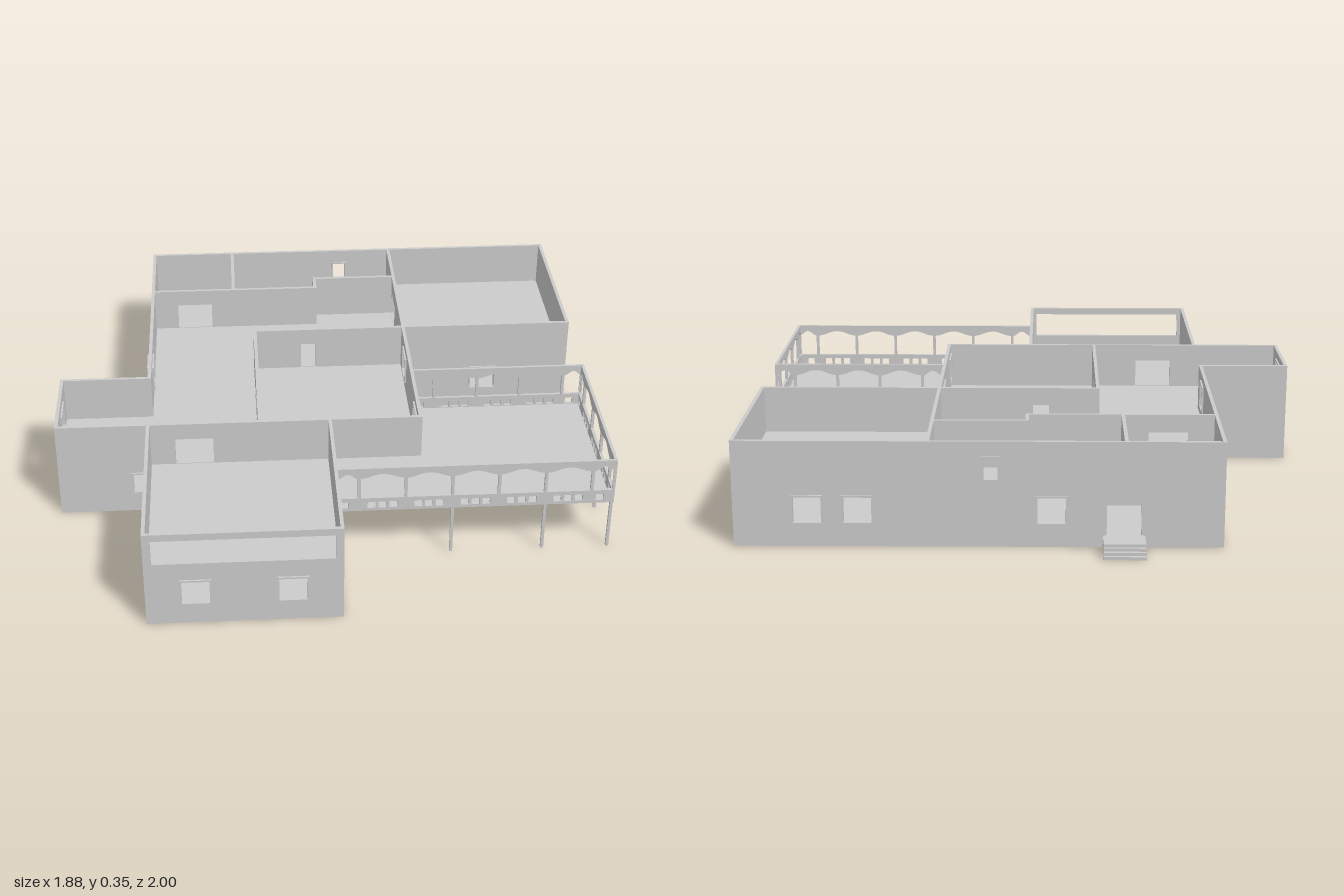
import * as THREE from 'three';

const H = 0.35, FLOOR = 0.19, T = 0.012;
const mat = new THREE.MeshStandardMaterial({ color: 0xcccccc, side: THREE.DoubleSide, flatShading: true });

function rect(Type, a, b, y0, y1) {
  const p = new Type();
  p.moveTo(a, y0); p.lineTo(b, y0); p.lineTo(b, y1); p.lineTo(a, y1); p.closePath();
  return p;
}

// Extrudes an upright (along, y) shape, centred on the line x = at or z = at
function upright(name, shape, axis, at, depth) {
  const geo = new THREE.ExtrudeGeometry(shape, { depth, bevelEnabled: false, curveSegments: 6 });
  const m = new THREE.Mesh(geo, mat);
  m.name = name;
  if (axis === 'x') m.position.z = at - depth / 2;
  else { m.rotation.y = -Math.PI / 2; m.position.x = at + depth / 2; }
  return m;
}

// Wall running along an axis; openings are [from, to, bottom, top, framed]
function wall(name, axis, at, from, to, y0, openings = []) {
  const g = new THREE.Group();
  g.name = name;
  const s = rect(THREE.Shape, from - T / 2, to + T / 2, y0, H);
  for (const [a, b, c, d, framed] of openings) {
    s.holes.push(rect(THREE.Path, a, b, c, d));
    if (!framed) continue;
    const f = 0.006;
    const ring = rect(THREE.Shape, a - f, b + f, c - f, d + f);
    ring.holes.push(rect(THREE.Path, a, b, c, d));
    g.add(upright('windowFrame', ring, axis, at, T + 0.012));
  }
  g.add(upright('wallPanel', s, axis, at, T));
  return g;
}

function box(name, x0, x1, y0, y1, z0, z1) {
  const m = new THREE.Mesh(new THREE.BoxGeometry(x1 - x0, y1 - y0, z1 - z0), mat);
  m.name = name;
  m.position.set((x0 + x1) / 2, (y0 + y1) / 2, (z0 + z1) / 2);
  return m;
}

// Horizontal slab from an outline of [x, z] points
function slab(name, pts, y0, y1) {
  const s = new THREE.Shape(pts.map(([x, z]) => new THREE.Vector2(x, -z)));
  const m = new THREE.Mesh(new THREE.ExtrudeGeometry(s, { depth: y1 - y0, bevelEnabled: false }), mat);
  m.name = name;
  m.rotation.x = -Math.PI / 2;
  m.position.y = y0;
  return m;
}

// Terrace screen: arched bays above a parapet pierced by small squares
function screen(name, axis, at, from, to) {
  const bay = 0.155, p = 0.005, s = rect(THREE.Shape, from, to, 0.182, H);
  const edges = [from];
  for (let u = from + bay / 2; u < to - 0.03; u += bay) edges.push(u);
  edges.push(to);
  for (let i = 0; i < edges.length - 1; i++) {
    const a = edges[i] + p, b = edges[i + 1] - p, mid = (a + b) / 2;
    const arch = new THREE.Path();
    arch.moveTo(a, 0.232);
    arch.lineTo(b, 0.232);
    arch.lineTo(b, 0.31);
    arch.bezierCurveTo(b - (b - a) * 0.2, 0.312, mid + (b - a) * 0.2, 0.328, mid, 0.328);
    arch.bezierCurveTo(mid - (b - a) * 0.2, 0.328, a + (b - a) * 0.2, 0.312, a, 0.31);
    s.holes.push(arch);
    const offsets = b - a > 0.1 ? [-0.036, 0, 0.036] : [-0.01];
    for (const o of offsets) s.holes.push(rect(THREE.Path, mid + o - 0.013, mid + o + 0.013, 0.193, 0.217));
  }
  return upright(name, s, axis, at, 0.01);
}

export function createModel() {
  const g = new THREE.Group();
  g.name = 'house';
  const lo = (a, b) => [a, b, 0.08, 0.165, true];   // ground storey window
  const up = (a, b) => [a, b, 0.232, 0.318, true];  // upper storey window
  const door = (a, b) => [a, b, FLOOR + 0.002, 0.29, false];

  // Floors
  const outline = [[-0.625, -0.88], [0.925, -0.88], [0.925, -0.255], [0.31, -0.255], [0.31, 0.36], [0, 0.36],
    [0, 0.985], [-0.62, 0.985], [-0.62, 0.36], [-0.93, 0.36], [-0.93, 0.055], [-0.625, 0.055]];
  g.add(slab('groundFloor', outline, 0.018, 0.025));
  g.add(slab('upperFloor', outline, 0.18, FLOOR));

  // Outer walls
  g.add(
    wall('backWall', 'x', -0.88, -0.622, 0.925, 0, [lo(0.49, 0.58), lo(0.65, 0.74), lo(-0.125, -0.035),
      [0.09, 0.135, 0.225, 0.295, true], [-0.365, -0.255, 0.04, 0.14, false]]),
    wall('leftRoomSideWall', 'z', 0.925, -0.88, -0.255, 0,
      [[-0.7, -0.655, 0.08, 0.152, true], [-0.47, -0.425, 0.08, 0.152, true]]),
    wall('leftRoomFrontWall', 'x', -0.255, 0.31, 0.925, 0, [lo(0.57, 0.66)]),
    wall('middleSideWall', 'z', 0.31, -0.255, 0.36, 0, [lo(-0.15, -0.06), up(-0.15, -0.06), up(0.23, 0.32)]),
    wall('middleFrontWall', 'x', 0.36, -0.93, 0.31, 0,
      [[-0.68, -0.633, 0.08, 0.152, true], [0.195, 0.265, 0.08, 0.145, true], door(-0.53, -0.4)]),
    wall('frontRoomLeftWall', 'z', 0, 0.36, 0.98, 0, [lo(0.71, 0.8)]),
    wall('frontWall', 'x', 0.983, -0.62, 0, 0,
      [lo(-0.51, -0.42), lo(-0.2, -0.11), [-0.6, -0.018, 0.235, 0.325, false]]),
    wall('frontRoomRightWall', 'z', -0.62, 0.36, 0.98, 0, [lo(0.71, 0.8)]),
    wall('annexSideWall', 'z', -0.93, 0.055, 0.36, 0, [up(0.16, 0.25)]),
    wall('annexBackWall', 'x', 0.055, -0.93, -0.622, 0, [[-0.68, -0.64, 0.08, 0.152, true]]),
    wall('rightWall', 'z', -0.622, -0.88, 0.055, 0, [lo(-0.695, -0.605),
      [-0.4, -0.36, 0.08, 0.145, true], lo(-0.15, -0.06), up(-0.15, -0.06)]),
  );

  // Upper storey partitions
  const y = 0.182;
  g.add(
    wall('hallPartition', 'x', -0.578, -0.62, 0, y, [door(-0.53, -0.4)]),
    wall('hallReturn', 'z', 0, -0.65, -0.578, y),
    wall('hallPartitionLeft', 'x', -0.65, 0, 0.31, y),
    wall('backRoomPartition', 'z', -0.315, -0.88, -0.578, y),
    wall('leftRoomPartition', 'z', 0.31, -0.88, -0.255, y, [[-0.785, -0.73, 0.21, 0.29, false], door(-0.64, -0.51)]),
    wall('middleRoomBackPartition', 'x', -0.255, -0.24, 0.31, y, [door(-0.07, -0.015)]),
    wall('middleRoomSidePartition', 'z', -0.24, -0.255, 0.36, y, [door(-0.015, 0.115)]),
  );

  // Terrace deck, posts and screens
  g.add(slab('terraceDeck', [[0, 0.36], [0.31, 0.36], [0.31, 0.055], [0.93, 0.055], [0.93, 0.665], [0, 0.665]], 0.182, FLOOR));
  const posts = [[0.012, 0.66], [0.39, 0.66], [0.7, 0.66], [0.923, 0.66], [0.923, 0.44], [0.923, 0.21], [0.923, 0.062]];
  for (const [x, z] of posts) g.add(box('terracePost', x - 0.005, x + 0.005, 0, 0.183, z - 0.005, z + 0.005));
  g.add(
    screen('terraceFrontScreen', 'x', 0.662, 0, 0.93),
    screen('terraceSideScreen', 'z', 0.925, 0.053, 0.667),
    screen('terraceBackScreen', 'x', 0.058, 0.315, 0.93),
  );

  // Back door steps
  for (let i = 0; i < 4; i++) g.add(box('backStep', -0.377, -0.243, i * 0.01, (i + 1) * 0.01, -1 + i * 0.011, -0.88));
  return g;
}
